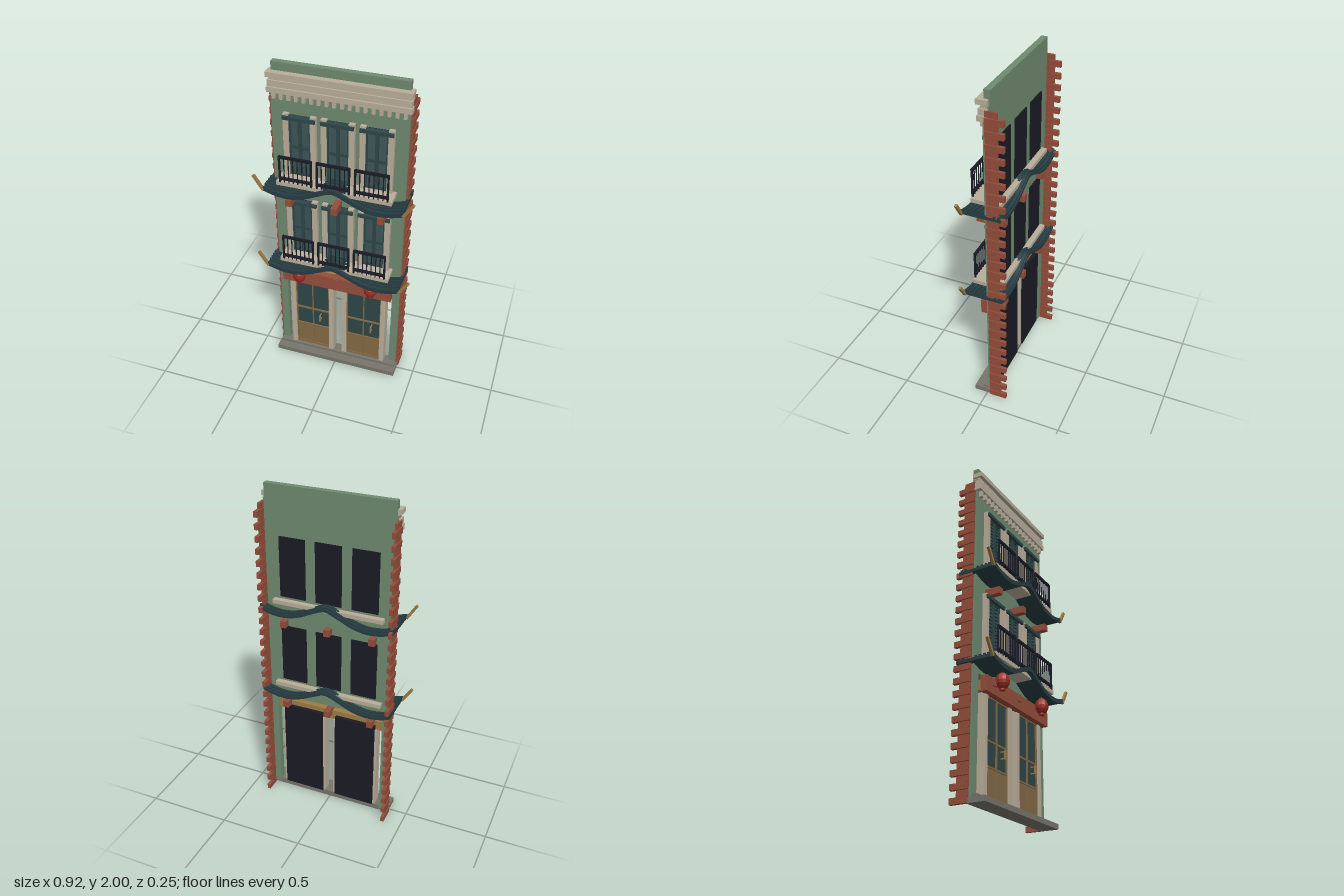
import * as THREE from 'three';

const mat = (name, color) => Object.assign(new THREE.MeshStandardMaterial({ color }), { name });
const M = {
  green: mat('greenPlaster', 0x6f8a70),
  stone: mat('paleStone', 0xb9ae9a),
  teal: mat('shutterTeal', 0x2e4648),
  roof: mat('roofTile', 0x263d42),
  brick: mat('redBrick', 0x944e3b),
  gold: mat('ochreTrim', 0x9d7b45),
  wood: mat('doorWood', 0x836a45),
  grey: mat('greyStep', 0x77756b),
  dark: mat('darkIron', 0x1b1b26),
  red: mat('lanternRed', 0x9c2c22),
};

export function createModel() {
  const root = new THREE.Group();
  root.name = 'townhouse';

  const add = (parent, name, geo, material) => {
    const mesh = new THREE.Mesh(geo, material);
    mesh.name = name;
    parent.add(mesh);
    return mesh;
  };
  // box given by its minimum and maximum on each axis
  const box = (parent, name, material, x0, x1, y0, y1, z0, z1) => {
    const mesh = add(parent, name, new THREE.BoxGeometry(x1 - x0, y1 - y0, z1 - z0), material);
    mesh.position.set((x0 + x1) / 2, (y0 + y1) / 2, (z0 + z1) / 2);
    return mesh;
  };
  const group = (name, x = 0, y = 0, parent = root) => {
    const g = new THREE.Group();
    g.name = name;
    g.position.set(x, y, 0);
    parent.add(g);
    return g;
  };
  const extrude = (points, z0, z1) => {
    const shape = new THREE.Shape(points.map(([x, y]) => new THREE.Vector2(x, y)));
    const geo = new THREE.ExtrudeGeometry(shape, { depth: z1 - z0, bevelEnabled: false });
    return geo.translate(0, 0, z0);
  };

  // wall with the wide shopfront opening, parapet and step
  add(root, 'wall', extrude([
    [-0.38, 0.02], [-0.335, 0.02], [-0.335, 0.695], [0.335, 0.695],
    [0.335, 0.02], [0.38, 0.02], [0.38, 1.92], [-0.38, 1.92],
  ], -0.042, -0.005), M.green);
  box(root, 'parapet', M.green, -0.372, 0.372, 1.92, 2, -0.045, -0.01);
  box(root, 'step', M.grey, -0.39, 0.39, 0, 0.03, -0.03, 0.08);
  box(root, 'stepLedge', M.grey, -0.38, 0.38, 0.03, 0.045, -0.04, 0.03);

  // cornice: stacked mouldings and a row of dentils
  const cornice = group('cornice');
  for (const [y0, y1, z, x] of [
    [1.925, 1.953, 0.026, 0.392], [1.905, 1.925, 0.005, 0.38],
    [1.87, 1.905, 0.015, 0.388], [1.837, 1.867, 0.021, 0.392],
  ]) box(cornice, 'moulding', M.stone, -x, x, y0, y1, -0.035, z);
  for (let i = 0; i < 18; i++) {
    const x = -0.357 + i * 0.042;
    box(cornice, 'dentil', M.stone, x - 0.009, x + 0.009, 1.8, 1.838, -0.01, 0.014);
  }

  // toothed brick edges, alternating long and short courses
  const courses = 54, h = 1.9 / courses;
  for (const side of [-1, 1]) {
    const edge = group(side > 0 ? 'leftBrickEdge' : 'rightBrickEdge');
    for (let i = 0; i < courses; i++) {
      const splits = i % 2 ? [-0.02, -0.052, -0.088] : [-0.02, -0.058, -0.125];
      const out = i % 2 ? 0.392 : 0.397;
      for (let k = 0; k < 2; k++) {
        const b = box(edge, 'brick', M.brick, 0.377, out, i * h + 0.001, (i + 1) * h - 0.001,
          splits[k + 1] + 0.001, splits[k]);
        b.position.x *= side;
      }
    }
  }

  // swept roof: a curved sheet with ridges running along it
  const half = [[0, 0.09], [0.08, 0.06], [0.16, 0.024], [0.24, 0.006], [0.32, 0.01], [0.4, 0.032]];
  const full = [...half.slice(1).reverse().map(([x, y]) => [-x, y]), ...half];
  const curve = new THREE.SplineCurve(full.map(([x, y]) => new THREE.Vector2(x, y)));
  const sweep = curve.getPoints(40).map((p) => [p.x, p.y]);
  const ribbon = (top, bottom, z0, z1) => extrude([
    ...sweep.map(([x, y]) => [x, y + top]),
    ...sweep.map(([x, y]) => [x, y + bottom]).reverse(),
  ], z0, z1);

  const buildWindow = (parent, x) => {
    const w = group('window', x, 0, parent);
    box(w, 'windowBack', M.dark, -0.077, 0.077, 0.09, 0.445, -0.05, -0.002);
    for (const s of [-1, 1]) {
      const px = s * 0.077;
      box(w, 'jamb', M.stone, px - 0.016, px + 0.016, 0.07, 0.455, -0.01, 0.02);
      // louvred shutter leaf
      const cx = s * 0.031;
      for (const e of [-1, 1])
        box(w, 'shutterStile', M.teal, cx + e * 0.026 - 0.005, cx + e * 0.026 + 0.005, 0.08, 0.435, -0.004, 0.014);
      for (const y of [0.08, 0.245, 0.42])
        box(w, 'shutterRail', M.teal, cx - 0.026, cx + 0.026, y, y + 0.018, -0.004, 0.013);
      for (let i = 0; i < 15; i++) {
        const slat = box(w, 'slat', M.teal, cx - 0.024, cx + 0.024, 0.097 + i * 0.022, 0.119 + i * 0.022, 0.001, 0.005);
        slat.rotation.x = -0.35;
      }
    }
    box(w, 'lintel', M.teal, -0.092, 0.092, 0.425, 0.445, -0.01, 0.033);
    // iron railing
    for (const y of [0.09, 0.225])
      box(w, 'rail', M.dark, -0.095, 0.095, y, y + 0.014, 0.09, 0.104);
    for (let i = 0; i < 8; i++) {
      const bx = -0.091 + i * 0.026;
      const r = i % 7 ? 0.0025 : 0.005;
      box(w, 'baluster', M.dark, bx - r, bx + r, 0.072, 0.23, 0.097 - r, 0.097 + r);
    }
  };

  // two identical upper storeys
  for (const [name, y] of [['lowerStorey', 0.73], ['upperStorey', 1.27]]) {
    const s = group(name, 0, y);
    add(s, 'roofSheet', ribbon(0, -0.018, -0.105, 0.115), M.roof);
    add(s, 'roofLip', ribbon(0.006, -0.02, 0.112, 0.127), M.roof);
    for (const z of [-0.09, -0.065, 0.015, 0.042, 0.068, 0.092])
      add(s, 'roofRidge', ribbon(0.01, -0.002, z - 0.007, z + 0.007), M.roof);
    for (const side of [-1, 1]) {
      const tip = box(s, 'roofTip', M.gold, -0.008, 0.008, -0.052, 0.052, 0.113, 0.128);
      tip.position.x = side * 0.427;
      tip.position.y = 0.057;
      tip.rotation.z = -side * 0.58;
    }
    box(s, 'sill', M.stone, -0.33, 0.33, 0.05, 0.074, -0.075, 0.1);
    for (const x of [-0.215, 0, 0.215]) buildWindow(s, x);
  }

  // brick-red beam ends under each roof
  for (const [y, front] of [[0.635, 0.057], [1.177, 0.09]])
    for (const x of [-0.268, 0, 0.268])
      box(root, 'beamEnd', M.brick, x - 0.018, x + 0.018, y, y + 0.042, -0.08, front);

  // plain fascia board over the shopfront
  box(root, 'fasciaBoard', M.brick, -0.34, 0.34, 0.59, 0.68, 0.012, 0.05);
  box(root, 'transom', M.gold, -0.335, 0.335, 0.6, 0.66, -0.03, 0.012);

  // hanging lanterns
  for (const x of [-0.222, 0.222]) {
    const l = group('lantern', x, 0.675);
    l.position.z = 0.075;
    const body = new THREE.SphereGeometry(0.04, 12, 8).toNonIndexed();
    body.scale(1, 1.2, 1);
    body.computeVertexNormals();
    add(l, 'lanternBody', body, M.red);
    for (const y of [-0.047, 0.047])
      add(l, 'lanternCap', new THREE.CylinderGeometry(0.016, 0.016, 0.012, 12), M.red).position.y = y;
  }

  // two double doors
  for (const x of [-0.166, 0.166]) {
    const d = group('door', x);
    box(d, 'doorBack', M.dark, -0.125, 0.125, 0.045, 0.63, -0.05, -0.03);
    for (const s of [-1, 1])
      box(d, 'doorPost', M.stone, s * 0.124 - 0.015, s * 0.124 + 0.015, 0.045, 0.6, -0.04, 0.02);
    box(d, 'doorLeaf', M.wood, -0.11, 0.11, 0.045, 0.215, -0.03, 0.004);
    box(d, 'doorGlass', M.teal, -0.11, 0.11, 0.215, 0.6, -0.03, 0.002);
    for (const [y, t] of [[0.045, 0.012], [0.208, 0.01], [0.345, 0.01], [0.585, 0.012]])
      box(d, 'doorRail', M.wood, -0.11, 0.11, y, y + t, 0, 0.01);
    for (const [sx, t] of [[-0.107, 0.004], [0, 0.003], [0.107, 0.004]])
      box(d, 'doorStile', M.wood, sx - t, sx + t, 0.045, 0.6, 0, 0.011);
    box(d, 'handle', M.gold, 0.049, 0.057, 0.28, 0.33, 0.025, 0.035);
    for (const y of [0.283, 0.32])
      box(d, 'handleMount', M.gold, 0.05, 0.056, y, y + 0.007, 0, 0.028);
  }

  return root;
}
